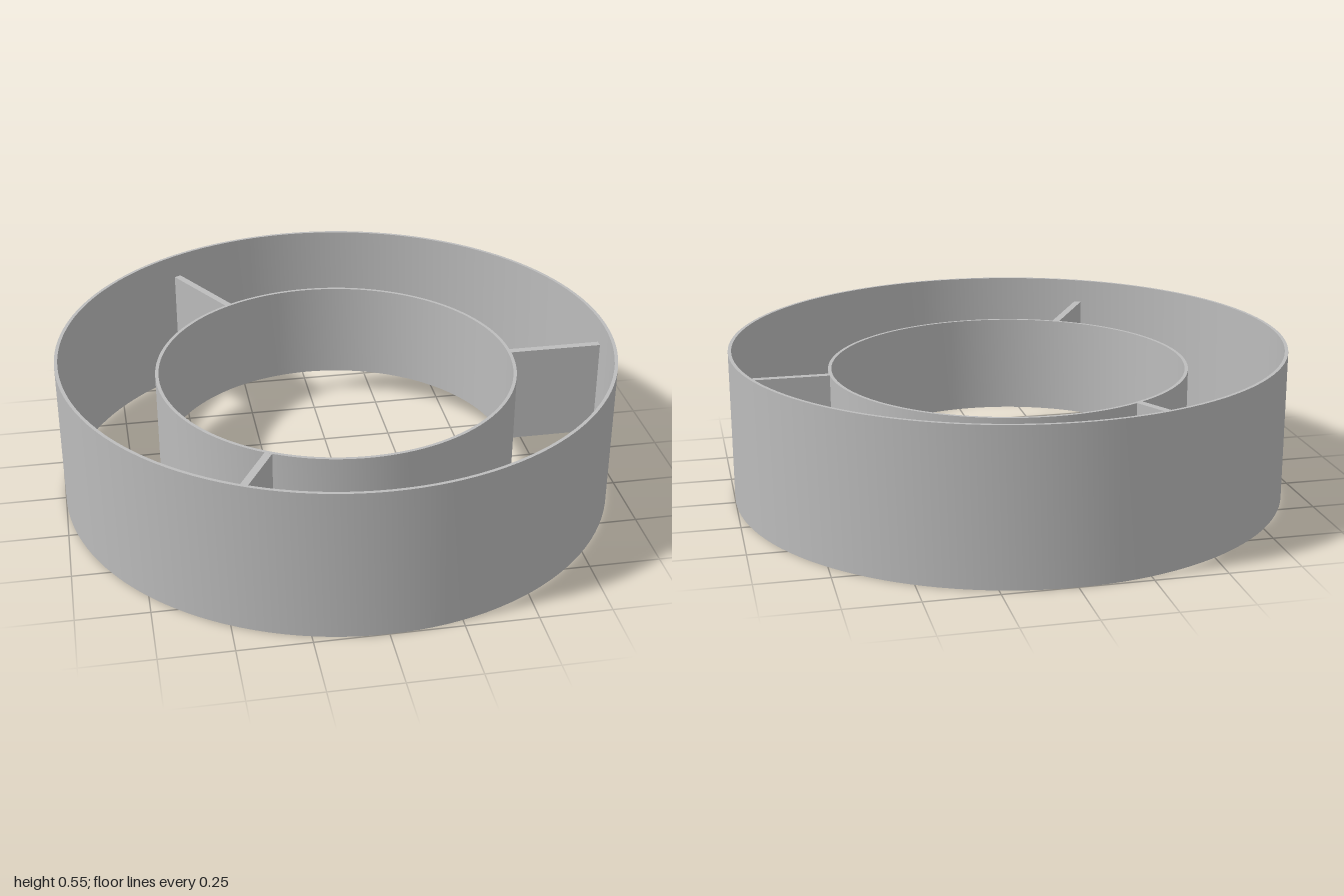
import * as THREE from 'three';
import { toCreasedNormals } from 'three/addons/utils/BufferGeometryUtils.js';

const HEIGHT = 0.545;
const INSET = 0.09; // inner ring and fins are set in from both rims
const WALL = 0.012;

export function createModel() {
  const group = new THREE.Group();
  const grey = new THREE.MeshStandardMaterial({ color: 0xbcbcbc });
  grey.name = 'grey';

  // Thin-walled hoop with crisp rims
  const addRing = (name, radius, y0, y1) => {
    const inner = radius - WALL;
    const profile = [[radius, y0], [radius, y1], [inner, y1], [inner, y0], [radius, y0]]
      .map(([r, y]) => new THREE.Vector2(r, y));
    const ring = new THREE.Mesh(toCreasedNormals(new THREE.LatheGeometry(profile, 128), 0.6), grey);
    ring.name = name;
    group.add(ring);
  };
  addRing('outerRing', 1, 0, HEIGHT);
  addRing('innerRing', 0.65, INSET, HEIGHT - INSET);

  // Three radial fins joining the rings
  const r0 = 0.645, r1 = 0.994;
  const finGeometry = new THREE.BoxGeometry(r1 - r0, HEIGHT - 2 * INSET, 0.027);
  finGeometry.translate((r0 + r1) / 2, HEIGHT / 2, 0);
  for (let i = 0; i < 3; i++) {
    const fin = new THREE.Mesh(finGeometry, grey);
    fin.name = `fin${i + 1}`;
    fin.rotation.y = (i * Math.PI * 2) / 3;
    group.add(fin);
  }
  return group;
}
